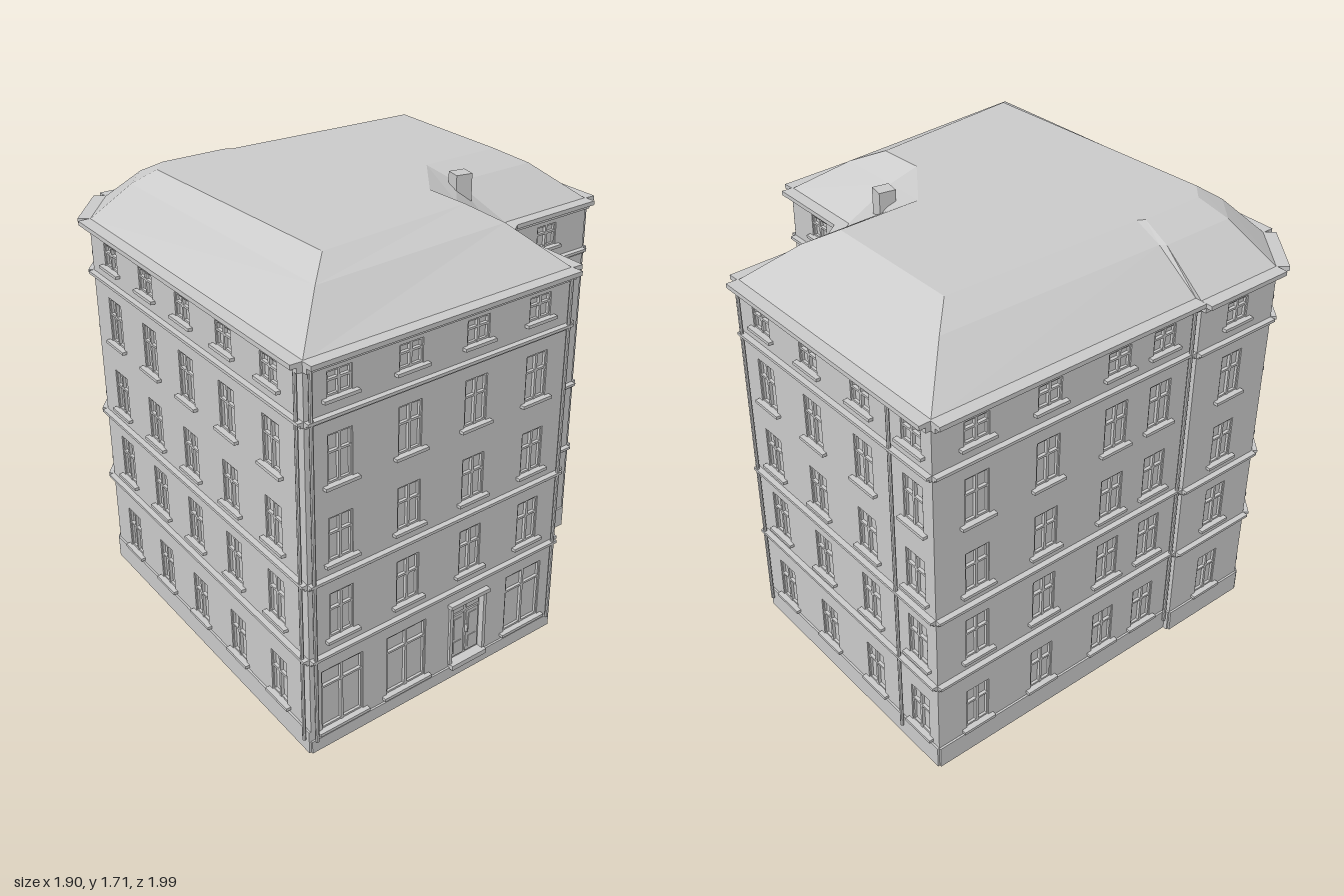
import * as THREE from 'three';

const mat = new THREE.MeshStandardMaterial({ color: 0xcccccc, flatShading: true, side: THREE.DoubleSide });

// Box given by its ranges in wall space: x along the wall, y up, z outward
function bar(parent, name, x0, x1, y0, y1, z0, z1) {
  const m = new THREE.Mesh(new THREE.BoxGeometry(x1 - x0, y1 - y0, z1 - z0), mat);
  m.position.set((x0 + x1) / 2, (y0 + y1) / 2, (z0 + z1) / 2);
  m.name = name;
  parent.add(m);
}

// Window sill and head heights, ground floor first
const floors = [[0.11, 0.29], [0.45, 0.63], [0.755, 0.925], [1.05, 1.23], [1.36, 1.45]];
const EAVE = 1.51, DEPTH = 0.02;

// Footprint corners [x, z], each with the data of the wall that starts there
const walls = [
  { name: 'frontWall', p: [-0.665, 0.95], at: [0.12, 0.37, 0.622, 0.87], shop: true, pipes: [0.015, 0.985] },
  { name: 'frontSideWall', p: [0.46, 0.685], at: [0.48] },
  { name: 'recessWall', p: [0.395, 0.305], at: [] },
  { name: 'frontRecessedWall', p: [0.48, 0.21], at: [0.51], pipes: [0.03] },
  { name: 'leftSideWall', p: [0.9, 0.11], at: [0.125, 0.39, 0.66, 0.905], pipes: [0.015, 0.815] },
  { name: 'backWall', p: [0.7, -0.955], at: [0.155, 0.42, 0.69, 0.875], pipes: [0.985] },
  { name: 'backStep', p: [-0.405, -0.768], at: [] },
  { name: 'backProjectingWall', p: [-0.41, -0.792], at: [0.5] },
  { name: 'corneredWall', p: [-0.785, -0.727], at: [0.5] },
  { name: 'rightSideWall', p: [-0.91, -0.5], at: [0.11, 0.3, 0.485, 0.675, 0.865], pipes: [0.985] },
];

// Pane, frame, mullion and transom filling one opening
function glazing(parent, cx, w, y0, y1, split) {
  const g = new THREE.Group();
  g.name = 'window';
  const l = cx - w / 2, r = cx + w / 2, t = 0.007, f = -0.005, b = -0.015;
  const ty = y0 + (y1 - y0) * split;
  bar(g, 'pane', l, r, y0, y1, -DEPTH, b);
  bar(g, 'frameLeft', l, l + t, y0, y1, b, f);
  bar(g, 'frameRight', r - t, r, y0, y1, b, f);
  bar(g, 'frameTop', l, r, y1 - t, y1, b, f);
  bar(g, 'frameBottom', l, r, y0, y0 + t, b, f);
  bar(g, 'mullion', cx - 0.005, cx + 0.005, y0, y1, b, f + 0.002);
  bar(g, 'transom', l, r, ty - 0.004, ty + 0.004, b, f + 0.002);
  bar(g, 'sill', l - 0.02, r + 0.02, y0 - 0.012, y0, -0.01, 0.018);
  parent.add(g);
}

// Double door with panels, handle and surround
function door(parent, cx, w, y0, y1) {
  const g = new THREE.Group();
  g.name = 'door';
  const h = w / 2, ty = y0 + (y1 - y0) * 0.78;
  bar(g, 'doorBack', cx - h, cx + h, y0, y1, -DEPTH, -0.015);
  for (const s of [-1, 1]) {
    const c = cx + s * h * 0.48;
    bar(g, 'leaf', c - h * 0.4, c + h * 0.4, y0 + 0.01, ty - 0.006, -0.015, -0.009);
    bar(g, 'leafGlass', c - h * 0.25, c + h * 0.25, y0 + 0.09, ty - 0.02, -0.009, -0.006);
    bar(g, 'leafPanel', c - h * 0.25, c + h * 0.25, y0 + 0.025, y0 + 0.075, -0.009, -0.006);
    bar(g, 'fanlight', c - h * 0.4, c + h * 0.4, ty + 0.008, y1 - 0.008, -0.015, -0.009);
    const e = cx + s * (h + 0.007);
    bar(g, 'jamb', e - 0.007, e + 0.007, y0, y1, -0.01, 0.01);
  }
  bar(g, 'handle', cx + 0.006, cx + 0.011, y0 + 0.1, y0 + 0.13, -0.009, 0);
  bar(g, 'lintel', cx - h - 0.02, cx + h + 0.02, y1, y1 + 0.016, -0.01, 0.022);
  bar(g, 'doorstep', cx - h - 0.01, cx + h + 0.01, y0 - 0.02, y0, -0.01, 0.025);
  parent.add(g);
}

function buildWall(data, next) {
  const g = new THREE.Group();
  g.name = data.name;
  const dx = next.p[0] - data.p[0], dz = next.p[1] - data.p[1], len = Math.hypot(dx, dz);
  g.position.set(data.p[0], 0, data.p[1]);
  g.rotation.y = Math.atan2(-dz, dx);

  // Wall slab with an opening for every window and the door
  const shape = new THREE.Shape([[0, 0], [len, 0], [len, EAVE], [0, EAVE]].map(c => new THREE.Vector2(...c)));
  const cut = (cx, w, y0, y1) => shape.holes.push(new THREE.Path(
    [[-1, y0], [-1, y1], [1, y1], [1, y0]].map(([s, y]) => new THREE.Vector2(cx + s * w / 2, y))));
  data.at.forEach((f, i) => {
    const cx = f * len;
    floors.forEach(([y0, y1], level) => {
      if (data.shop && level === 0) {
        if (i === 2) {
          cut(cx, 0.15, 0.065, 0.32);
          door(g, cx, 0.15, 0.065, 0.32);
        } else {
          cut(cx, 0.18, 0.075, 0.325);
          glazing(g, cx, 0.18, 0.075, 0.325, 0.72);
        }
      } else {
        cut(cx, 0.1, y0, y1);
        glazing(g, cx, 0.1, y0, y1, 0.63);
      }
    });
  });
  const slab = new THREE.Mesh(new THREE.ExtrudeGeometry(shape, { depth: DEPTH, bevelEnabled: false }), mat);
  slab.position.z = -DEPTH;
  slab.name = 'wall';
  g.add(slab);

  // Plinth, string courses and eaves cornice
  bar(g, 'plinth', 0, len, 0, data.shop ? 0.05 : 0.09, -0.005, 0.008);
  for (const y of [0.395, 0.7, 1.3]) {
    bar(g, 'stringCourse', 0, len, y - 0.004, y + 0.007, -0.005, 0.022);
    bar(g, 'stringCourseLower', 0, len, y - 0.014, y - 0.004, -0.005, 0.011);
  }
  bar(g, 'corniceLower', 0, len, 1.475, 1.495, -0.005, 0.02);
  bar(g, 'cornice', 0, len, 1.495, 1.512, -0.005, 0.044);

  // Downpipes
  for (const f of data.pipes || []) {
    const pipe = new THREE.Mesh(new THREE.CylinderGeometry(0.007, 0.007, 1.45, 8), mat);
    pipe.position.set(f * len, 0.775, 0.014);
    pipe.name = 'downpipe';
    g.add(pipe);
  }
  return g;
}

// Hipped roof: eaves ring, softened middle ring and flat top
function buildRoof() {
  const base = walls.map(w => w.p);
  const top = [[-0.45, 0.62], [0.17, 0.43], [0.13, 0.25], [0.25, 0], [0.58, -0.07],
    [0.48, -0.63], [-0.33, -0.5], [-0.36, -0.51], [-0.62, -0.46], [-0.67, -0.38]];
  const n = base.length, pos = [], idx = [];
  for (const [t, y] of [[0, 1.508], [0.63, 1.65], [1, 1.705]])
    base.forEach((b, i) => pos.push(b[0] + (top[i][0] - b[0]) * t, y, b[1] + (top[i][1] - b[1]) * t));
  for (let r = 0; r < 2; r++)
    for (let i = 0; i < n; i++) {
      const a = r * n + i, b = r * n + (i + 1) % n;
      idx.push(a, b, b + n, a, b + n, a + n);
    }
  const cap = THREE.ShapeUtils.triangulateShape(top.map(([x, z]) => new THREE.Vector2(x, -z)), []);
  cap.forEach(t => idx.push(...t.map(i => i + 2 * n)));
  const geo = new THREE.BufferGeometry();
  geo.setAttribute('position', new THREE.Float32BufferAttribute(pos, 3));
  geo.setIndex(idx);
  const flat = geo.toNonIndexed();
  flat.computeVertexNormals();
  const roof = new THREE.Mesh(flat, mat);
  roof.name = 'roof';
  return roof;
}

export function createModel() {
  const model = new THREE.Group();
  model.name = 'apartmentBuilding';
  walls.forEach((w, i) => model.add(buildWall(w, walls[(i + 1) % walls.length])));
  model.add(buildRoof());
  bar(model, 'chimney', 0.285, 0.35, 1.58, 1.708, 0.107, 0.167);
  return model;
}
